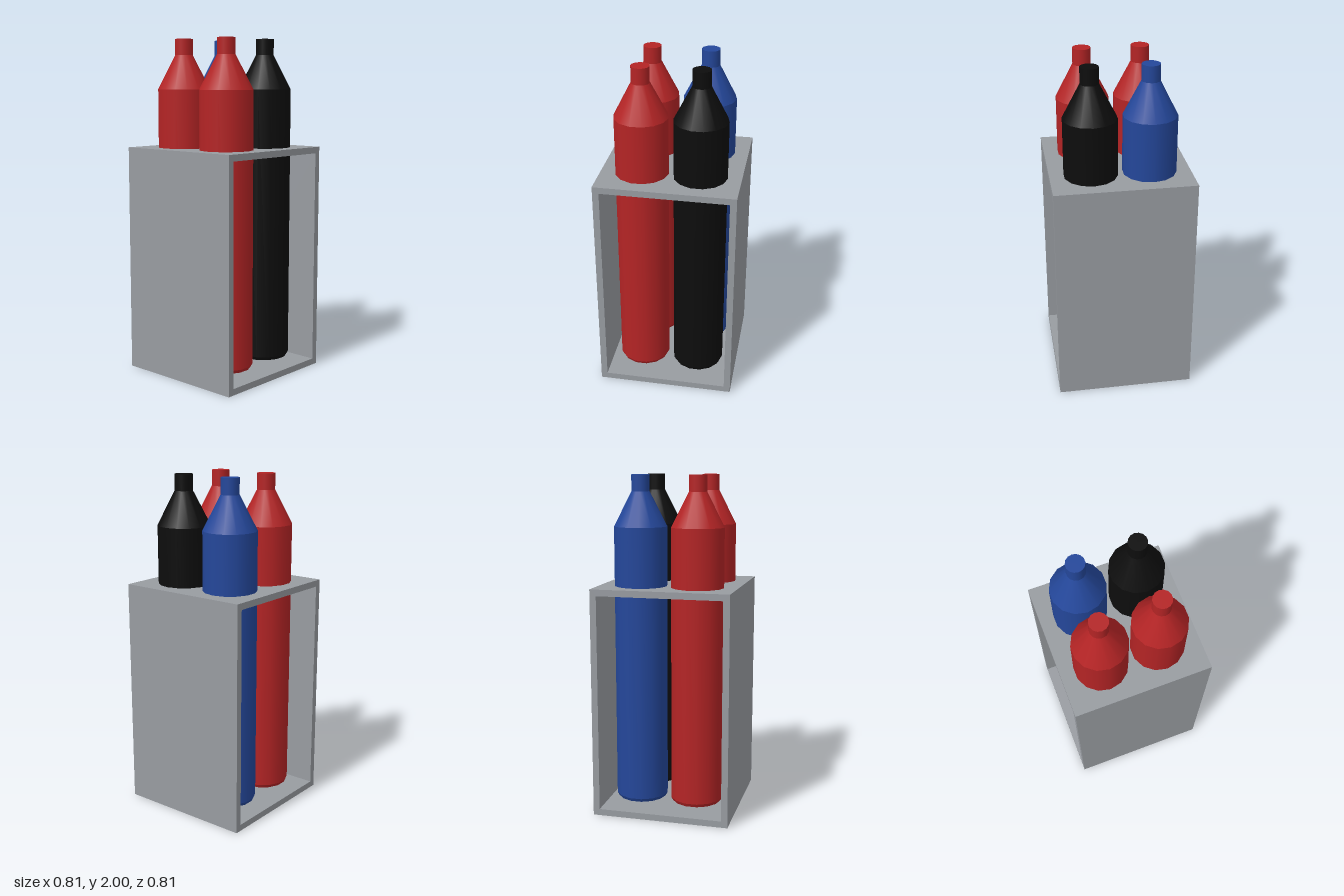
import * as THREE from 'three';
import { mergeGeometries } from 'three/addons/utils/BufferGeometryUtils.js';

const makeMaterial = (name, color) => {
  const m = new THREE.MeshStandardMaterial({ color });
  m.name = name;
  return m;
};

// One lathe band per profile segment keeps the rings crisp and the sides smooth
function bottleGeometry() {
  const profile = [
    [0, 0.07], [0.146, 0.07], [0.156, 0.09], [0.156, 1.705],
    [0.053, 1.905], [0.053, 2], [0, 2],
  ].map(([r, y]) => new THREE.Vector2(r, y));
  const bands = [];
  for (let i = 0; i < profile.length - 1; i++) {
    bands.push(new THREE.LatheGeometry([profile[i], profile[i + 1]], 14, Math.PI / 2));
  }
  return mergeGeometries(bands);
}

// Square tube, open at front and back
function crateGeometry() {
  const half = 0.407, height = 1.36, wall = 0.038;
  const shape = new THREE.Shape([
    new THREE.Vector2(-half, 0), new THREE.Vector2(half, 0),
    new THREE.Vector2(half, height), new THREE.Vector2(-half, height),
  ]);
  const x = half - wall;
  shape.holes.push(new THREE.Path([
    new THREE.Vector2(-x, wall), new THREE.Vector2(-x, height - wall),
    new THREE.Vector2(x, height - wall), new THREE.Vector2(x, wall),
  ]));
  const geometry = new THREE.ExtrudeGeometry(shape, { depth: half * 2, bevelEnabled: false });
  return geometry.translate(0, 0, -half);
}

export function createModel() {
  const group = new THREE.Group();
  group.name = 'bottleCrate';
  const grey = makeMaterial('crateGrey', 0x989ca1);
  const red = makeMaterial('bottleRed', 0xb42425);
  const blue = makeMaterial('bottleBlue', 0x24479a);
  const black = makeMaterial('bottleBlack', 0x0d0d0d);

  const crate = new THREE.Mesh(crateGeometry(), grey);
  crate.name = 'crate';
  group.add(crate);

  // Four bottles in a two by two grid
  const geometry = bottleGeometry();
  const bottles = [
    ['frontRightBottle', red, -1, 1], ['frontLeftBottle', black, 1, 1],
    ['backRightBottle', red, -1, -1], ['backLeftBottle', blue, 1, -1],
  ];
  for (const [name, material, sx, sz] of bottles) {
    const bottle = new THREE.Mesh(geometry, material);
    bottle.name = name;
    bottle.position.set(sx * 0.17, 0, sz * 0.17);
    group.add(bottle);
  }
  return group;
}
